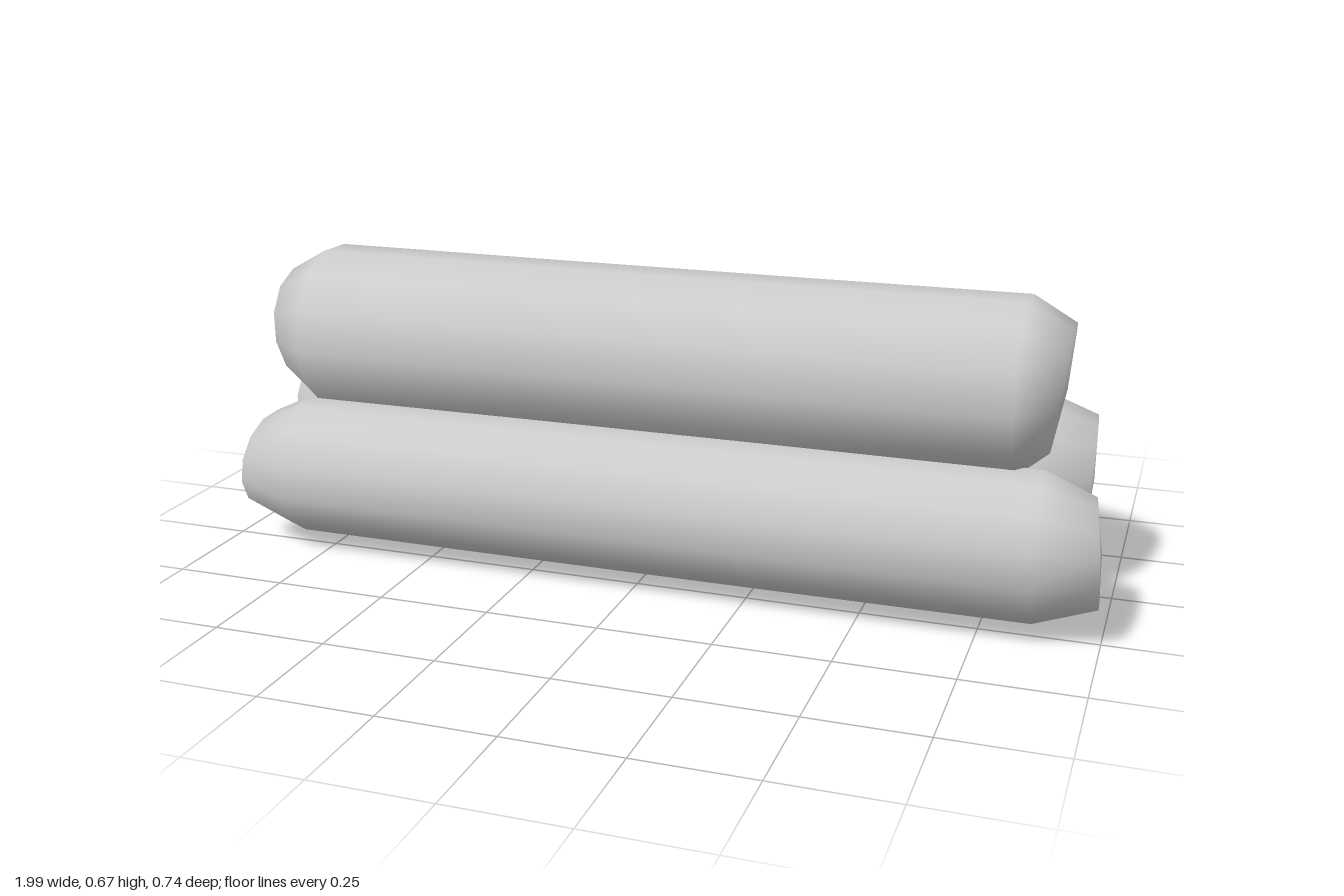
import * as THREE from 'three';
import { mergeVertices } from 'three/addons/utils/BufferGeometryUtils.js';

const material = new THREE.MeshStandardMaterial({ color: 0xcccccc });
const SIDES = 13;

// A log lying along x: a lathed profile with bevelled ends, each end cut at a slight slant.
// Each end: x of the cut, x of the shoulder, slant of the cut over y and over z.
function makeLog(name, { y, z, radius, cap, shoulder, phase, left, right }) {
  const profile = [
    [0, left.x - 0.008], [cap, left.x], [shoulder, left.shoulder],
    [radius, -0.28], [radius, 0.28],
    [shoulder, right.shoulder], [cap, right.x], [0, right.x + 0.008],
  ].map(([r, x]) => new THREE.Vector2(r, x));

  let geometry = new THREE.LatheGeometry(profile, SIDES, phase);
  geometry.rotateZ(-Math.PI / 2);
  geometry.deleteAttribute('uv');
  geometry.deleteAttribute('normal');
  geometry = mergeVertices(geometry, 1e-4);

  // slant the ends, fading out along the bevel
  const p = geometry.attributes.position;
  for (let i = 0; i < p.count; i++) {
    const x = p.getX(i);
    const end = x < 0 ? left : right;
    const t = THREE.MathUtils.clamp((x - end.shoulder) / (end.x - end.shoulder), 0, 1);
    p.setX(i, x + t * (end.slantY * p.getY(i) + end.slantZ * p.getZ(i)));
  }
  geometry.computeVertexNormals();

  const log = new THREE.Mesh(geometry, material);
  log.name = name;
  log.position.set(0, y, z);
  return log;
}

export function createModel() {
  const model = new THREE.Group();
  model.name = 'logPile';
  model.add(
    makeLog('topLog', {
      y: 0.488, z: 0.095, radius: 0.189, shoulder: 0.19, cap: 0.138, phase: 0.1,
      left: { x: -0.875, shoulder: -0.8, slantY: -0.11, slantZ: -0.08 },
      right: { x: 0.877, shoulder: 0.8, slantY: 0.13, slantZ: 0.03 },
    }),
    makeLog('frontLog', {
      y: 0.183, z: 0.208, radius: 0.161, shoulder: 0.16, cap: 0.115, phase: 0.25,
      left: { x: -0.93, shoulder: -0.82, slantY: 0.12, slantZ: -0.12 },
      right: { x: 0.978, shoulder: 0.86, slantY: -0.07, slantZ: 0.12 },
    }),
    makeLog('backLog', {
      y: 0.213, z: -0.163, radius: 0.212, shoulder: 0.203, cap: 0.144, phase: 0.15,
      left: { x: -0.97, shoulder: -0.82, slantY: -0.11, slantZ: -0.16 },
      right: { x: 0.925, shoulder: 0.77, slantY: 0.06, slantZ: 0.08 },
    }),
  );
  return model;
}
